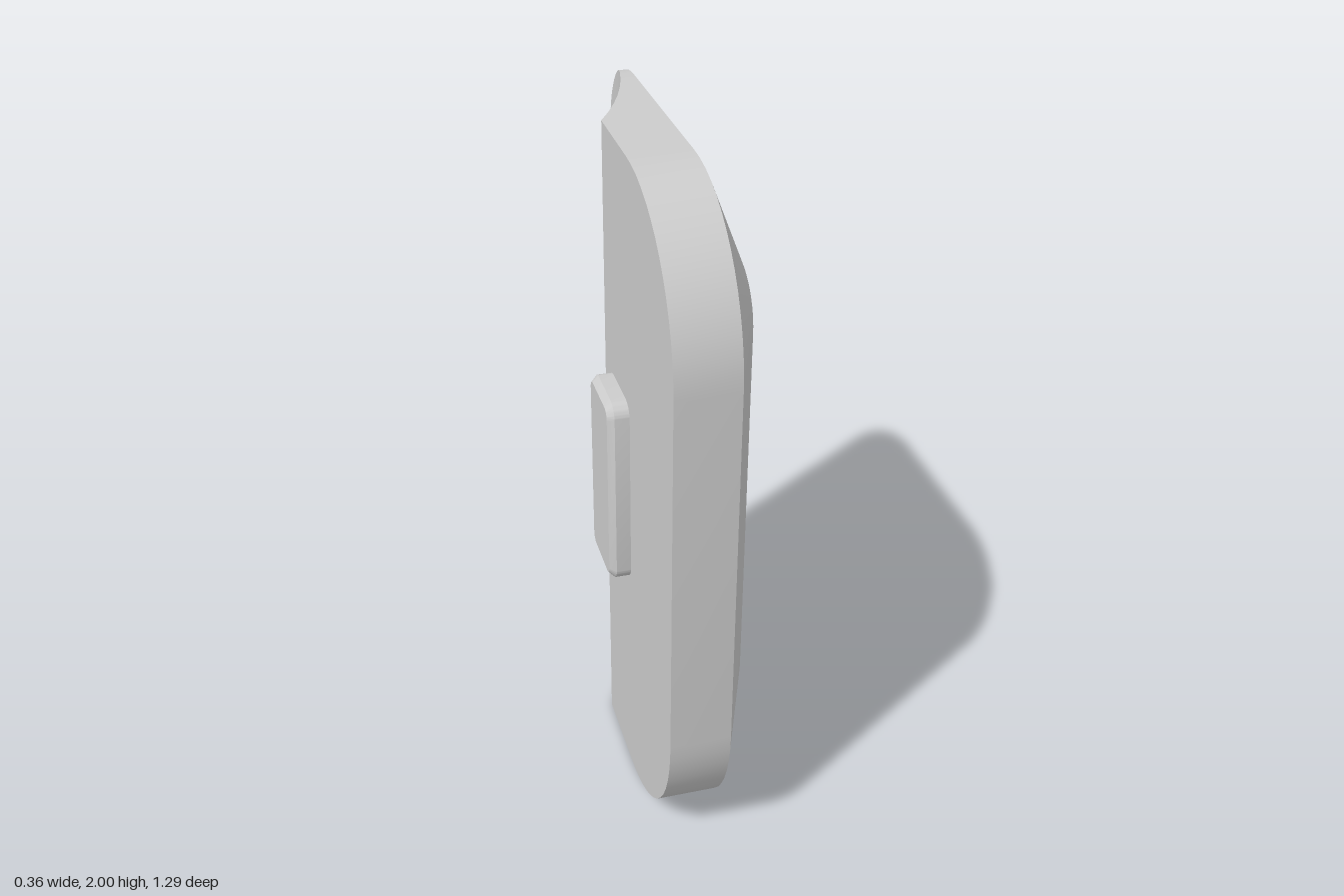
import * as THREE from 'three';
import { toCreasedNormals } from 'three/addons/utils/BufferGeometryUtils.js';

// Profile plane: u = -z, y up; x is the thickness direction.
const RIM = 0.055, TOP = 0.175, BACK = -0.12;
const U_OUT = 0.645, U_IN = 0.53;
const GROOVES = [0.62, 1.0, 1.385], HALF = 0.11, DEPTH = 0.047, U_CAP = -0.125;
const GR = (HALF * HALF + DEPTH * DEPTH) / (2 * DEPTH);
const SLOPE = (TOP - RIM) / (U_OUT - U_IN);

const material = new THREE.MeshStandardMaterial({ color: 0xcccccc });
const v3 = (u, y, x) => new THREE.Vector3(x, y, -u);
const v2 = (u, y) => new THREE.Vector2(u, y);

function part(name, geometry, crease = 0.35) {
  const mesh = new THREE.Mesh(toCreasedNormals(geometry, crease), material);
  mesh.name = name;
  return mesh;
}

// Surface through rows of points
function grid(rows) {
  const n = rows[0].length, index = [];
  for (let i = 0; i < rows.length - 1; i++)
    for (let j = 0; j < n - 1; j++) {
      const a = i * n + j, b = a + n;
      index.push(a, b, b + 1, a, b + 1, a + 1);
    }
  const g = new THREE.BufferGeometry().setFromPoints(rows.flat());
  g.setIndex(index);
  g.computeVertexNormals();
  return g;
}

// Flat polygon in the profile plane, lifted to x by a rule
function panel(points, xAt) {
  const g = new THREE.ShapeGeometry(new THREE.Shape(points));
  const p = g.attributes.position;
  for (let i = 0; i < p.count; i++) p.setZ(i, xAt(p.getX(i)));
  return g.rotateY(Math.PI / 2);
}

// Back surface: flat, then a concave arc thinning the rear edge
function backX(u) {
  if (u <= 0.07) return BACK;
  const R = 1.113, d = U_OUT - u;
  return 0.04 - R + Math.sqrt(R * R - d * d);
}

// Upper half of the outline: [outer, inner] pairs from front to rear
function upperHalf() {
  const out = [], N = 14;
  const corner = (cu, cy, r, iu, iy, ir, start) => {
    for (let k = 0; k <= N; k++) {
      const a = start - (k / N) * Math.PI / 2, c = Math.cos(a), s = Math.sin(a);
      out.push([v2(cu + r * c, cy + r * s), v2(iu + ir * c, iy + ir * s)]);
    }
  };
  corner(-0.195, 1.55, 0.45, -0.19, 1.55, 0.16, Math.PI);
  const [o0, i0] = out[out.length - 1], o1 = v2(0.425, 2), i1 = v2(0.43, 1.71);
  for (const u of [0.07, 0.13, 0.19, 0.25, 0.31, 0.37]) {
    const t = (u - o0.x) / (o1.x - o0.x);
    out.push([o0.clone().lerp(o1, t), i0.clone().lerp(i1, t)]);
  }
  corner(0.425, 1.78, 0.22, 0.43, 1.61, 0.1, Math.PI / 2);
  return out;
}

// Groove depth at a distance from its axis
const grooveDepth = (r) => Math.max(0, Math.sqrt(GR * GR - r * r) - (GR - DEPTH));
const across = Array.from({ length: 25 }, (_, k) => HALF * Math.sin((k / 24 - 0.5) * Math.PI));
const exitU = (dy) => U_IN + grooveDepth(dy) / SLOPE;
const capWidth = (dy) => Math.sqrt(Math.max(0, HALF * HALF - dy * dy));

// Scooped channel with a spherical closed end
function groove(cy) {
  const rows = [];
  for (let k = 8; k >= 0; k--)
    rows.push(across.map((dy) => {
      const w = capWidth(dy) * Math.sin((k / 8) * Math.PI / 2);
      return v3(U_CAP - w, cy + dy, TOP - grooveDepth(Math.hypot(w, dy)));
    }));
  rows.push(across.map((dy) => v3(exitU(dy), cy + dy, TOP - grooveDepth(dy))));
  return grid(rows);
}

export function createModel() {
  const group = new THREE.Group();
  const half = upperHalf();
  const mirror = (p) => v2(p.x, 2 - p.y);
  const lower = half.map(([o, i]) => [mirror(o), mirror(i)]).reverse();
  // Ring runs from the rear lower corner round the front to the rear upper corner
  const ring = [...lower, ...half];
  const closed = [...ring, ring[0]];

  // Side wall, back face, sloped border
  group.add(part('sideWall', grid([
    closed.map(([o]) => v3(o.x, o.y, backX(o.x))),
    closed.map(([o]) => v3(o.x, o.y, RIM)),
  ])));
  group.add(part('backFace', grid(half.map(([o]) =>
    [v3(o.x, o.y, backX(o.x)), v3(o.x, 2 - o.y, backX(o.x))]))));
  group.add(part('slopedBorder', grid([
    ring.map(([o]) => v3(o.x, o.y, RIM)),
    ring.map(([, i]) => v3(i.x, i.y, TOP)),
  ])));

  // Rear slope and raised face, both notched where the grooves run out
  const rear = [v2(U_OUT, 1.78), v2(U_OUT, 0.22), v2(U_IN, 0.39)];
  const face = ring.map(([, i]) => i.clone()).reverse();
  for (const cy of GROOVES) {
    rear.push(...across.map((dy) => v2(exitU(dy), cy + dy)));
    face.push(v2(U_IN, cy - HALF),
      ...across.map((dy) => v2(U_CAP - capWidth(dy), cy + dy)),
      v2(U_IN, cy + HALF));
  }
  rear.push(v2(U_IN, 1.61));
  group.add(part('rearSlope', panel(rear, (u) => TOP - (u - U_IN) * SLOPE)));
  group.add(part('raisedFace', panel(face, () => TOP)));

  // Finger grooves
  GROOVES.forEach((cy, k) => group.add(part('groove' + (k + 1), groove(cy), 0.6)));

  // Locating peg on the back
  const z0 = -0.02, z1 = 0.21, y0 = 0.71, y1 = 1.295, r = 0.045;
  const s = new THREE.Shape();
  s.absarc(z1 - r, y0 + r, r, -Math.PI / 2, 0);
  s.absarc(z1 - r, y1 - r, r, 0, Math.PI / 2);
  s.absarc(z0 + r, y1 - r, r, Math.PI / 2, Math.PI);
  s.absarc(z0 + r, y0 + r, r, Math.PI, Math.PI * 1.5);
  const bevel = 0.018;
  const peg = new THREE.ExtrudeGeometry(s, {
    depth: 0.062, curveSegments: 8, bevelEnabled: true, bevelSegments: 1,
    bevelSize: bevel, bevelThickness: bevel, bevelOffset: -bevel,
  });
  peg.rotateY(-Math.PI / 2).translate(-0.1, 0, 0);
  group.add(part('backPeg', peg, 0.5));
  return group;
}
